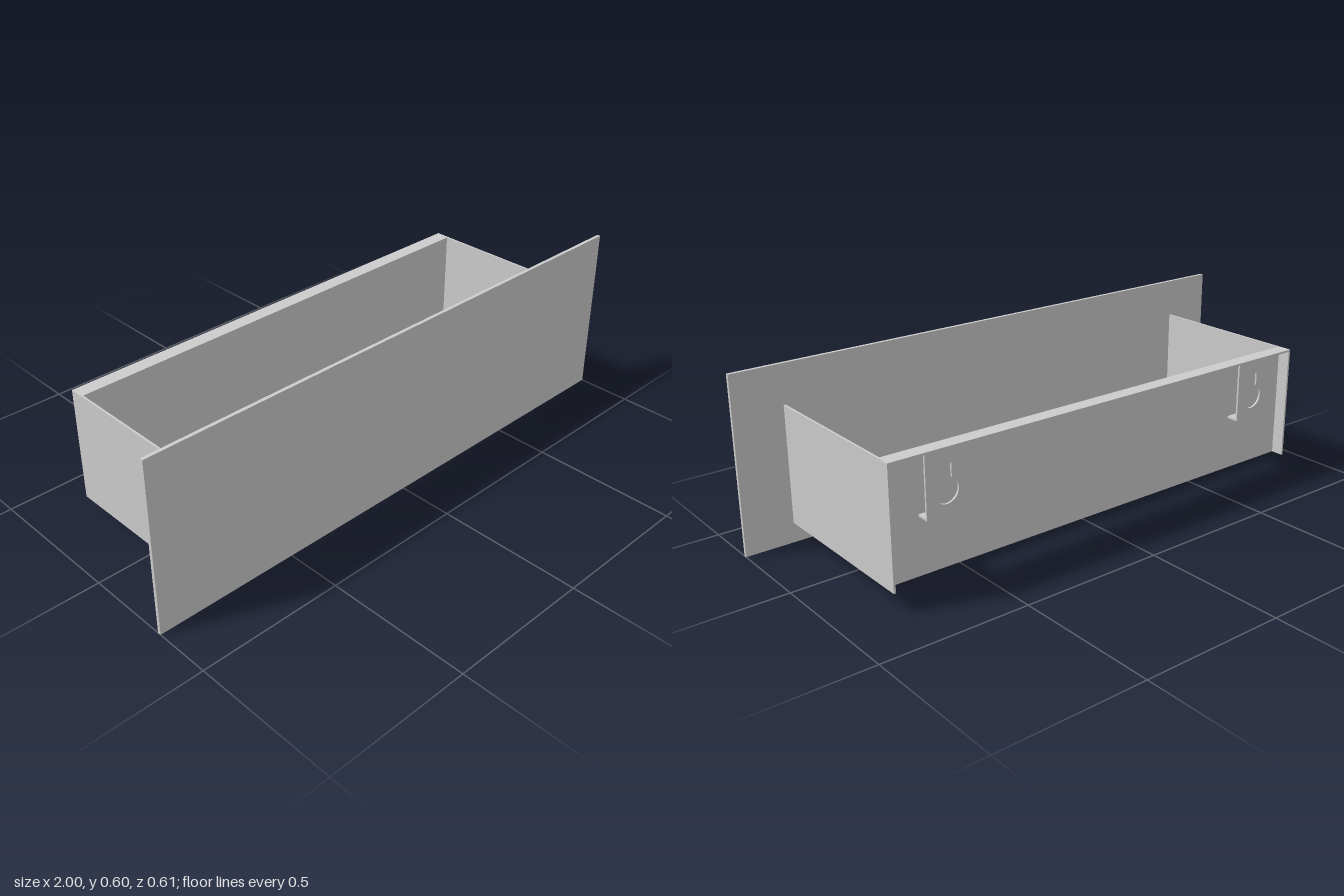
import * as THREE from 'three';

const T = 0.007; // sheet thickness
const mat = new THREE.MeshStandardMaterial({ color: 0xcccccc });

export function createModel() {
  const group = new THREE.Group();

  // Box given by its minimum and maximum corners
  function plate(name, x0, x1, y0, y1, z0, z1) {
    const mesh = new THREE.Mesh(new THREE.BoxGeometry(x1 - x0, y1 - y0, z1 - z0), mat);
    mesh.position.set((x0 + x1) / 2, (y0 + y1) / 2, (z0 + z1) / 2);
    mesh.name = name;
    group.add(mesh);
  }

  const W = 0.83, BOTTOM = 0.068, TOP = 0.468, BACK = -0.307, FRONT = 0.295;
  const PANEL_Z = -0.256; // inner face of the recessed back panel

  plate('frontPanel', -1, 1, 0, 0.602, FRONT, 0.307);
  plate('leftSide', W - T, W, BOTTOM, TOP, BACK, FRONT);
  plate('rightSide', -W, -W + T, BOTTOM, TOP, BACK, FRONT);

  // Recessed back panel with a flange folded rearward along its top
  const inner = W - T;
  plate('backPanel', -inner, inner, BOTTOM, TOP - T, PANEL_Z - T, PANEL_Z);
  plate('topFlange', -inner, inner, TOP - T, TOP, BACK, PANEL_Z);

  // Two floor slats
  for (const [z0, z1] of [[-0.183, -0.022], [0.053, 0.217]])
    plate('floorSlat', -inner, inner, BOTTOM, BOTTOM + T, z0, z1);

  // Hanging tabs: keyhole plate with a lip folded forward at its foot
  const tabBottom = 0.265, half = 0.07, holeY = 0.335, r = 0.042, slot = 0.019, slotTop = 0.41;
  const shape = new THREE.Shape();
  shape.moveTo(-half, tabBottom);
  shape.lineTo(half, tabBottom);
  shape.lineTo(half, TOP - T);
  shape.lineTo(-half, TOP - T);
  shape.closePath();

  const keyhole = new THREE.Path();
  const a = Math.acos(slot / r);
  keyhole.absarc(0, holeY, r, a, Math.PI - a, true);
  keyhole.lineTo(-slot, slotTop);
  keyhole.absarc(0, slotTop, slot, Math.PI, 0, true);
  keyhole.closePath();
  shape.holes.push(keyhole);

  const tabGeometry = new THREE.ExtrudeGeometry(shape, { depth: T, bevelEnabled: false, curveSegments: 24 });
  for (const x of [-0.64, 0.64]) {
    const tab = new THREE.Mesh(tabGeometry, mat);
    tab.position.set(x, 0, BACK);
    tab.name = 'hangingTab';
    group.add(tab);
    plate('tabLip', x - half, x + half, tabBottom - T, tabBottom, BACK, PANEL_Z - T);
  }

  return group;
}
